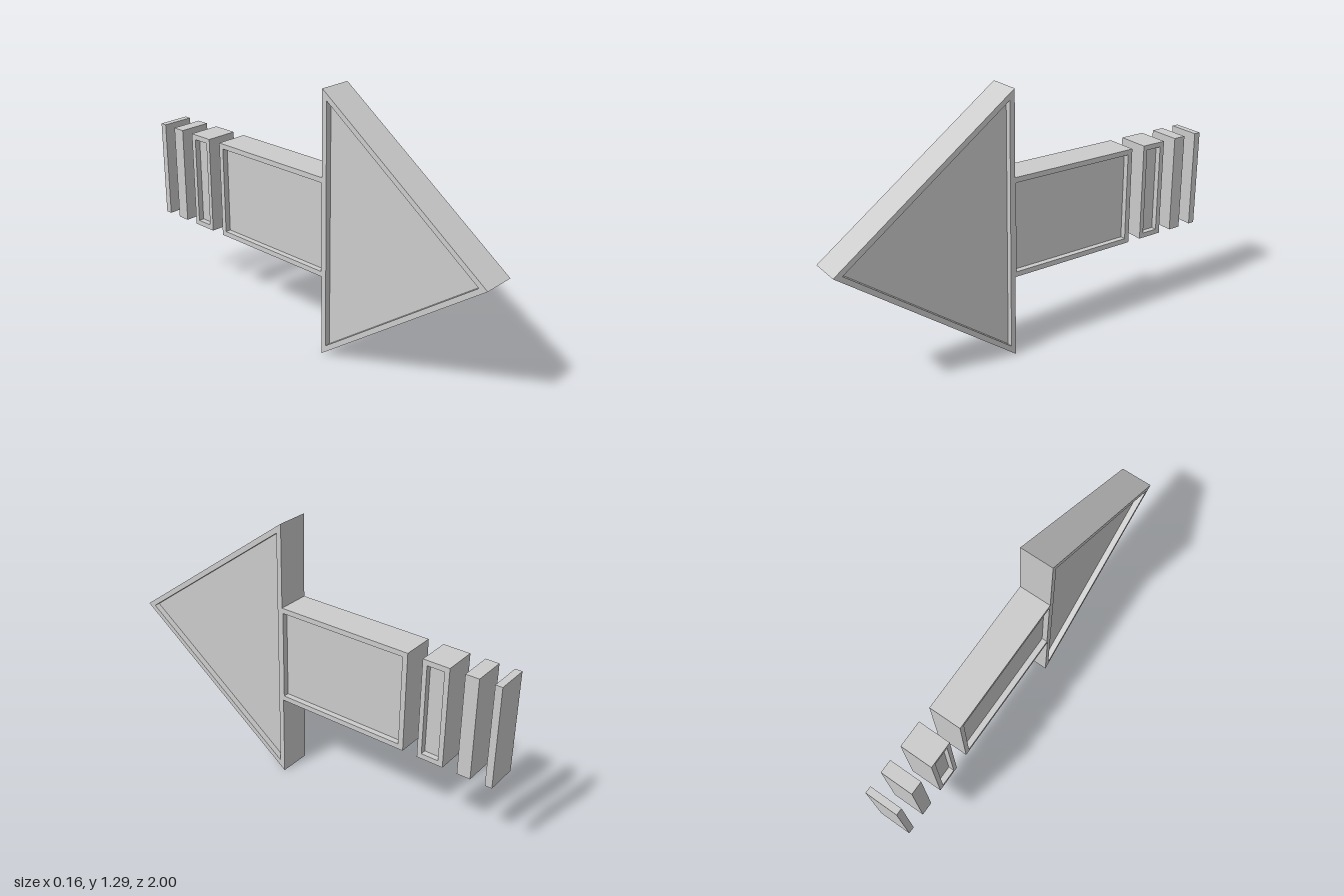
import * as THREE from 'three';

const WIDTH = 0.16, RECESS = 0.028;
const material = new THREE.MeshStandardMaterial({ color: 0xcccccc, flatShading: true });

// Extrudes a (z, y) outline across x, centred on x = 0
function slab(name, outline, width, hole) {
  const toPoints = (list) => list.map(([z, y]) => new THREE.Vector2(z, y));
  const shape = new THREE.Shape(toPoints(outline));
  if (hole) shape.holes.push(new THREE.Path(toPoints(hole)));
  const geometry = new THREE.ExtrudeGeometry(shape, { depth: width, bevelEnabled: false });
  geometry.translate(0, 0, -width / 2).rotateY(-Math.PI / 2);
  const mesh = new THREE.Mesh(geometry, material);
  mesh.name = name;
  return mesh;
}

// Full-width rim around a thinner panel, sunk on both sides
function framed(name, outline, inner) {
  const group = new THREE.Group();
  group.name = name;
  group.add(slab(name + 'Rim', outline, WIDTH, inner));
  group.add(slab(name + 'Panel', inner, WIDTH - 2 * RECESS));
  return group;
}

const rect = (z0, z1, y0, y1) => [[z0, y0], [z1, y0], [z1, y1], [z0, y1]];

export function createModel() {
  const model = new THREE.Group();
  model.name = 'arrow';
  const bottom = 0.405, top = 0.89;

  // Triangular head pointing forward
  model.add(framed('arrowHead',
    [[0.115, 0], [1, 0.647], [0.115, 1.293]],
    [[0.14, 0.05], [0.958, 0.647], [0.14, 1.244]]));

  // Long shaft block and the first tail block, both with sunk panels
  model.add(framed('shaft', rect(-0.56, 0.115, bottom, top), rect(-0.535, 0.11, 0.43, 0.865)));
  model.add(framed('tailBlock', rect(-0.762, -0.633, bottom, top), rect(-0.738, -0.655, 0.43, 0.865)));

  // Plain tail bars, getting thinner towards the back
  model.add(slab('tailBar', rect(-0.897, -0.833, bottom, top), WIDTH));
  model.add(slab('tailEndBar', rect(-1, -0.967, bottom, top), WIDTH));
  return model;
}
